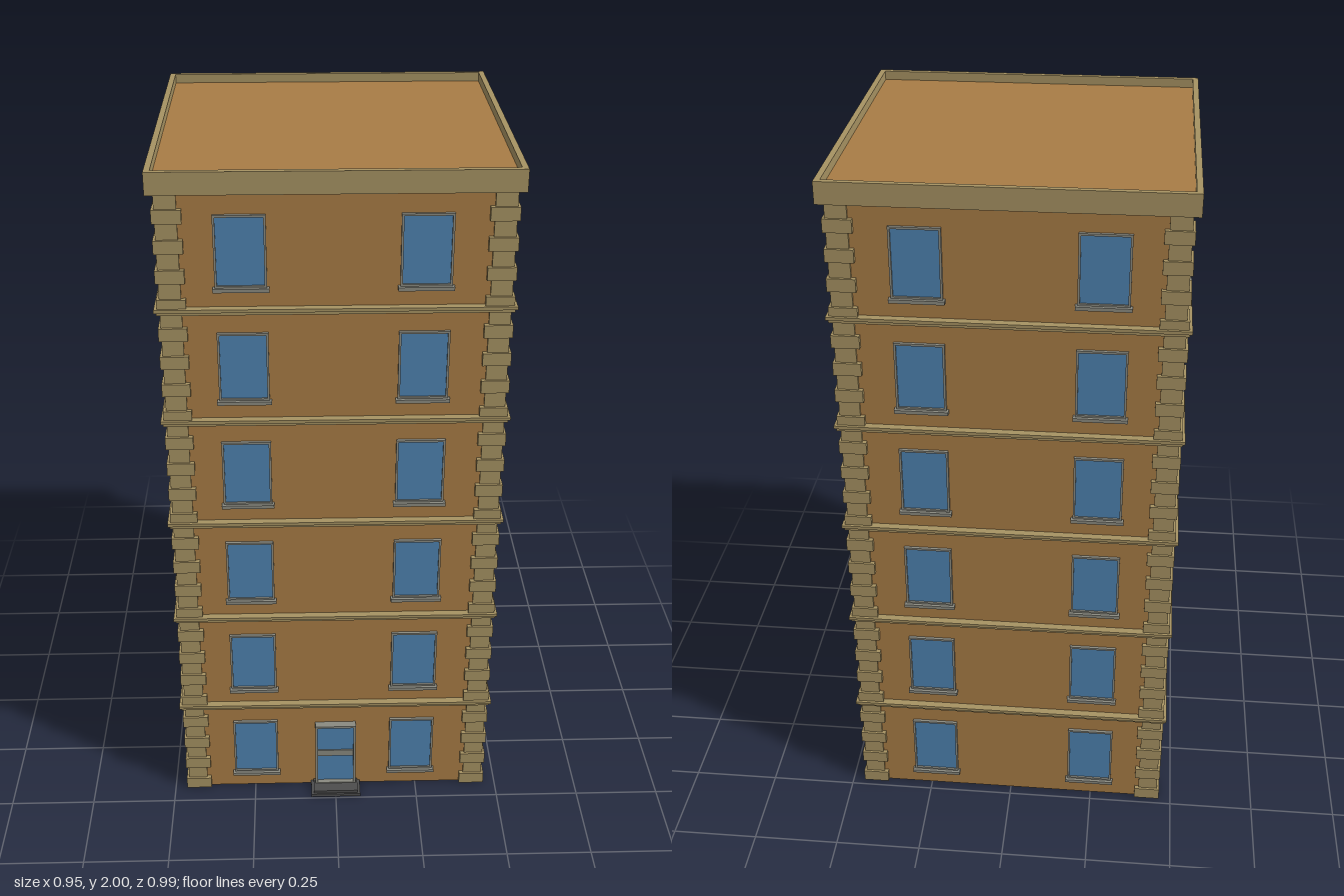
import * as THREE from 'three';

const FLOOR = 0.325, FLOORS = 6, WALL = 0.45, CZ = -0.019;
const mat = (color) => new THREE.MeshStandardMaterial({ color });

export function createModel() {
  const brick = mat(0xa87c45), stone = mat(0xa69262), glass = mat(0x4e82b0);
  const frameMat = mat(0x8a8a80), dark = mat(0x4d4d4d);
  const model = new THREE.Group();
  model.name = 'apartmentBlock';
  const building = new THREE.Group();
  building.name = 'building';
  building.position.z = CZ;
  model.add(building);

  const box = (parent, name, material, w, h, d, x, y, z) => {
    const m = new THREE.Mesh(new THREE.BoxGeometry(w, h, d), material);
    m.name = name;
    m.position.set(x, y, z);
    parent.add(m);
    return m;
  };

  // rectangular ring extruded along +z
  const ring = (w, h, t, depth) => {
    const rect = (P, a, b) => new P([
      new THREE.Vector2(-a, -b), new THREE.Vector2(a, -b),
      new THREE.Vector2(a, b), new THREE.Vector2(-a, b)]);
    const s = rect(THREE.Shape, w / 2, h / 2);
    s.holes.push(rect(THREE.Path, w / 2 - t, h / 2 - t));
    return new THREE.ExtrudeGeometry(s, { depth, bevelEnabled: false });
  };

  // main walls and roof
  box(building, 'walls', brick, WALL * 2, 1.96, WALL * 2, 0, 0.98, 0);
  box(building, 'roof', brick, 0.93, 0.03, 0.93, 0, 1.96, 0);

  // cornice with parapet
  const cornice = new THREE.Mesh(ring(0.952, 0.952, 0.016, 0.06), stone);
  cornice.name = 'cornice';
  cornice.rotation.x = -Math.PI / 2;
  cornice.position.y = 1.94;
  building.add(cornice);
  box(building, 'corniceSoffit', stone, 0.945, 0.01, 0.945, 0, 1.946, 0);

  // string courses between floors
  for (let i = 1; i < FLOORS; i++) {
    box(building, 'stringCourse', stone, 0.944, 0.009, 0.944, 0, i * FLOOR + 0.001, 0);
    box(building, 'stringCourseLower', stone, 0.932, 0.009, 0.932, 0, i * FLOOR - 0.008, 0);
  }

  // alternating corner quoins
  const rows = 48, pitch = 1.94 / rows;
  for (const sx of [-1, 1]) for (const sz of [-1, 1]) {
    const quoins = new THREE.Group();
    quoins.name = 'cornerQuoins';
    building.add(quoins);
    for (let r = 0; r < rows; r++) {
      const long = r % 2 === 0;
      const outer = long ? 0.464 : 0.457, inner = long ? 0.388 : 0.4;
      const size = outer - inner, c = (outer + inner) / 2;
      box(quoins, 'quoin', stone, size, long ? pitch * 0.9 : pitch * 1.1, size,
        sx * c, (r + 0.5) * pitch, sz * c);
    }
  }

  // window: frame, pane and sill
  const winW = 0.135, winH = 0.197;
  const winFrame = ring(winW, winH, 0.006, 0.009);
  const addWindow = (side, x, y) => {
    const win = new THREE.Group();
    win.name = 'window';
    win.position.set(x, y, WALL);
    const frame = new THREE.Mesh(winFrame, frameMat);
    frame.name = 'windowFrame';
    win.add(frame);
    box(win, 'windowPane', glass, winW - 0.01, winH - 0.01, 0.004, 0, 0, 0.001);
    box(win, 'windowSill', frameMat, 0.146, 0.01, 0.02, 0, -winH / 2 - 0.004, 0.008);
    side.add(win);
  };

  // four facades; opposite facades line up with each other
  const facades = [
    ['front', 0, [-0.245, 0.233]], ['right', Math.PI / 2, [-0.232, 0.245]],
    ['back', Math.PI, [-0.233, 0.245]], ['left', -Math.PI / 2, [-0.245, 0.232]],
  ];
  for (const [name, angle, columns] of facades) {
    const side = new THREE.Group();
    side.name = name + 'Facade';
    side.rotation.y = angle;
    building.add(side);
    for (let f = 0; f < FLOORS; f++) for (const x of columns) addWindow(side, x, 0.158 + f * FLOOR);
  }

  // entrance door and step
  const door = new THREE.Group();
  door.name = 'door';
  door.position.set(0, 0.13, WALL);
  building.add(door);
  const doorFrame = new THREE.Mesh(ring(0.124, 0.23, 0.007, 0.024), frameMat);
  doorFrame.name = 'doorFrame';
  door.add(doorFrame);
  box(door, 'doorGlass', glass, 0.112, 0.218, 0.014, 0, 0, 0.003);
  box(door, 'doorRail', frameMat, 0.112, 0.022, 0.016, 0, 0.002, 0.006);
  box(building, 'doorStep', dark, 0.152, 0.01, 0.065, 0, 0.005, 0.481);
  box(building, 'doorStepUpper', dark, 0.136, 0.01, 0.055, 0, 0.014, 0.481);

  return model;
}
